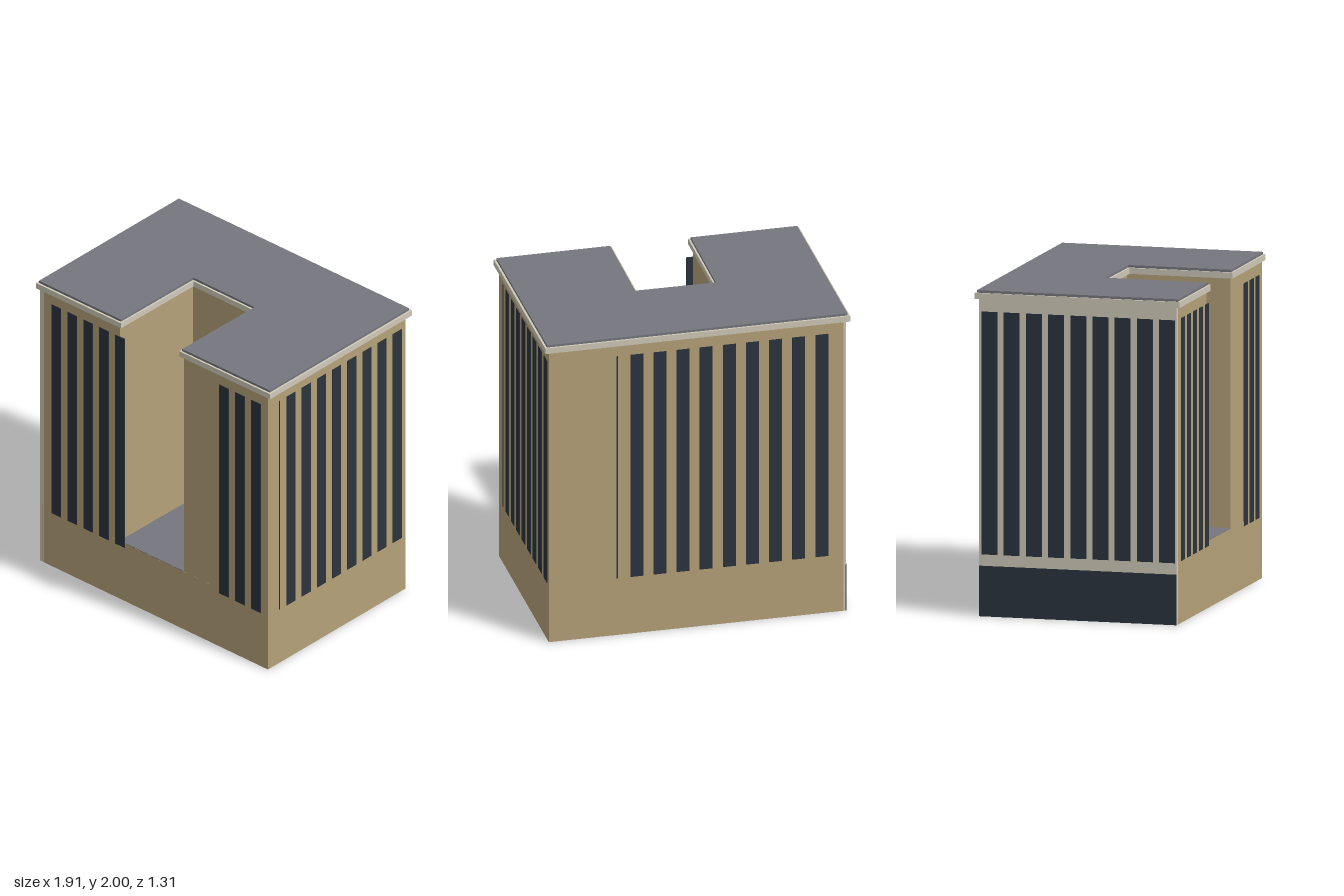
import * as THREE from 'three';

const material = (name, color) => {
  const m = new THREE.MeshStandardMaterial({ color });
  m.name = name;
  return m;
};

export function createModel() {
  const group = new THREE.Group();
  group.name = 'building';
  const tan = material('tan wall', 0xb5a179);
  const cream = material('cream trim', 0xcfc9b8);
  const grey = material('grey roof', 0x76777e);
  const dark = material('dark glass', 0x2b343d);

  // Extrudes a plan outline of [x, z] points between two heights
  function slab(name, plan, y0, y1, mat) {
    const shape = new THREE.Shape(plan.map(([x, z]) => new THREE.Vector2(x, z)));
    const geo = new THREE.ExtrudeGeometry(shape, { depth: y1 - y0, bevelEnabled: false });
    geo.rotateX(Math.PI / 2).translate(0, y1, 0);
    const mesh = new THREE.Mesh(geo, mat);
    mesh.name = name;
    group.add(mesh);
  }

  // Slightly skewed wall corners, [x, z]
  const frontLeft = [-0.92, 0.63], frontRight = [0.925, 0.62];
  const backRight = [0.915, -0.628], backLeft = [-0.925, -0.615];

  // Upright plate on the wall a-b, spanning s0..s1 on the given axis (0 = x, 1 = z)
  function plate(name, [a, b], axis, s0, s1, y0, y1, mat, thick = 0.006, out = 0) {
    const t = ((s0 + s1) / 2 - a[axis]) / (b[axis] - a[axis]);
    const mesh = new THREE.Mesh(new THREE.BoxGeometry(s1 - s0, y1 - y0, thick), mat);
    mesh.position.set(a[0] + (b[0] - a[0]) * t + out, (y0 + y1) / 2, a[1] + (b[1] - a[1]) * t);
    mesh.rotation.y = Math.atan2(a[1] - b[1], b[0] - a[0]);
    mesh.name = name;
    group.add(mesh);
  }
  function windows(wall, axis, start, pitch, count, width, out = 0) {
    for (let i = 0; i < count; i++) {
      const s = start + i * pitch;
      plate('windowStrip', wall, axis, s, s + width, 0.38, 1.87, dark, 0.006, out);
    }
  }

  // Solid base, courtyard floor and U-shaped upper walls
  slab('baseWalls', [frontLeft, frontRight, backRight, backLeft], 0, 0.41, tan);
  slab('courtyardFloor', [[-0.285, 0.626], [0.24, 0.623], [0.24, -0.03], [-0.285, -0.03]], 0.408, 0.414, grey);
  slab('upperWalls', [frontLeft, [-0.285, 0.626], [-0.285, -0.03], [0.24, -0.03],
    [0.24, 0.623], frontRight, backRight, backLeft], 0.41, 1.95, tan);

  // Overhanging cornice and roof
  slab('cornice', [[-0.95, 0.652], [-0.259, 0.645], [-0.259, -0.006], [0.217, -0.006],
    [0.217, 0.642], [0.955, 0.635], [0.943, -0.655], [-0.96, -0.64]], 1.948, 1.985, cream);
  slab('roof', [[-0.937, 0.638], [-0.271, 0.632], [-0.271, -0.019], [0.23, -0.019],
    [0.23, 0.63], [0.941, 0.622], [0.93, -0.642], [-0.946, -0.628]], 1.985, 2, grey);

  // Front, side and back window strips
  const front = [frontLeft, frontRight], back = [backLeft, backRight];
  const side = [backRight, frontRight], facade = [backLeft, frontLeft];
  windows(front, 0, -0.84, 0.13, 5, 0.077);
  windows(front, 0, 0.53, 0.13, 3, 0.077);
  windows(side, 1, -0.59, 0.1483 * 7 / 7.55, 8, 0.08);
  windows(back, 0, -0.828, 0.1443, 9, 0.08);
  plate('narrowWindow', side, 1, 0.512, 0.518, 0.38, 1.87, dark);
  plate('narrowWindow', back, 0, 0.483, 0.493, 0.38, 1.87, dark);

  // Panelled facade on the -x side with a dark plinth
  plate('facadePanel', facade, 1, -0.615, 0.63, 0, 1.95, cream, 0.03);
  windows(facade, 1, -0.6, 0.14, 9, 0.1, -0.015);
  plate('facadePlinth', facade, 1, -0.615, 0.63, 0, 0.31, dark, 0.006, -0.015);

  return group;
}
